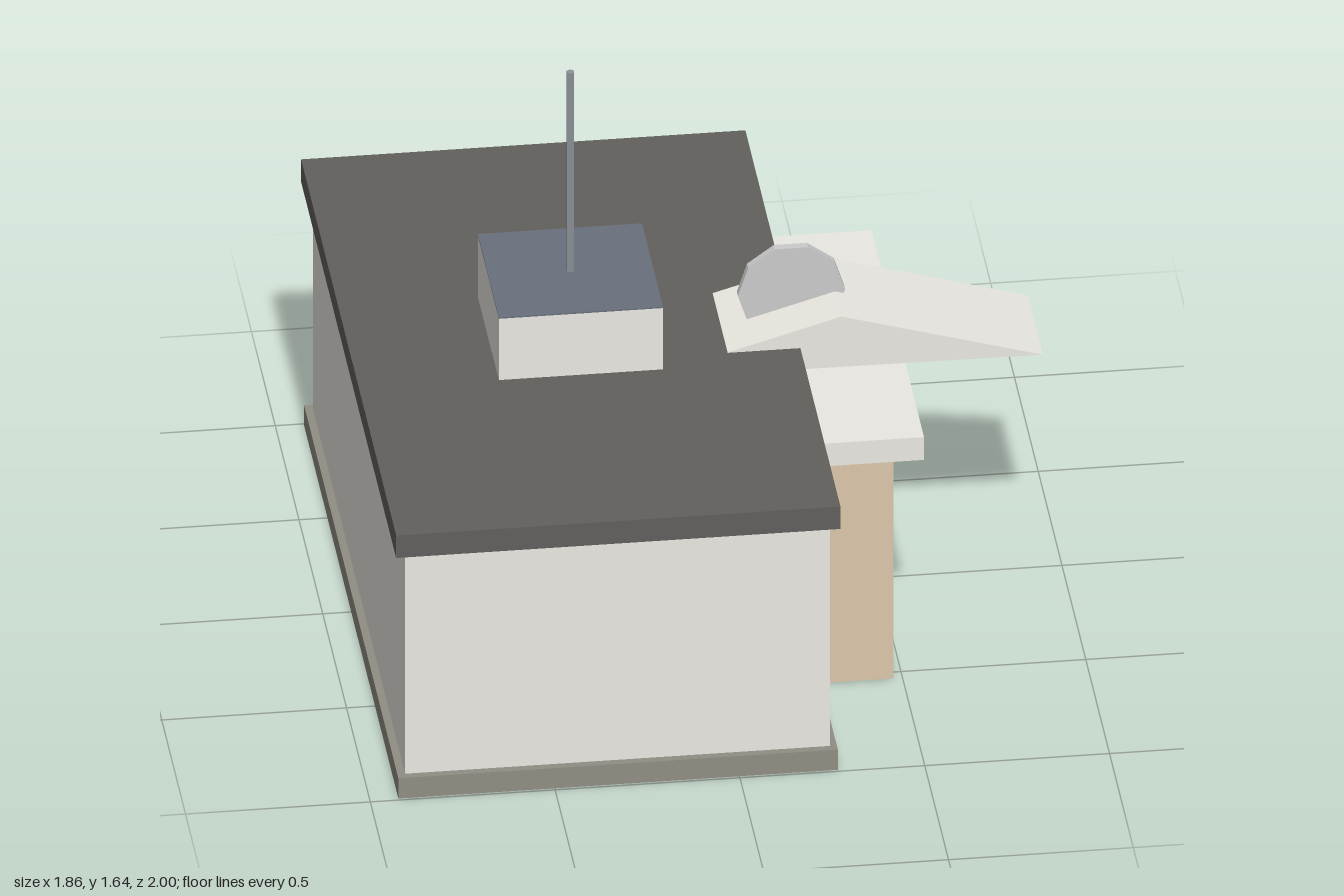
import * as THREE from 'three';

const mat = (color, side = THREE.FrontSide) =>
  new THREE.MeshStandardMaterial({ color, side, flatShading: true });

export function createModel() {
  const model = new THREE.Group();
  model.name = 'building';

  const wall = mat(0xebe9e2, THREE.DoubleSide);
  const dark = mat(0x62605d);
  const plinthMat = mat(0x918e84, THREE.DoubleSide);
  const tan = mat(0xdcc8aa, THREE.DoubleSide);
  const glass = mat(0x8fb8d6);
  const slate = mat(0x69707c);
  const metal = mat(0x8f959d);

  const add = (name, geometry, material) => {
    const mesh = new THREE.Mesh(geometry, material);
    mesh.name = name;
    model.add(mesh);
    return mesh;
  };
  // Box given by its limits on each axis
  const box = (name, [x0, x1], [y0, y1], [z0, z1], material) => {
    const mesh = add(name, new THREE.BoxGeometry(x1 - x0, y1 - y0, z1 - z0), material);
    mesh.position.set((x0 + x1) / 2, (y0 + y1) / 2, (z0 + z1) / 2);
    return mesh;
  };
  // Hollow box without its bottom face
  const shell = (...args) => {
    const { geometry } = box(...args);
    geometry.setIndex([...geometry.index.array].filter((_, i) => i < 18 || i >= 24));
    geometry.clearGroups();
  };
  const cylinder = (name, r, [y0, y1], x, z, sides, material) => {
    const mesh = add(name, new THREE.CylinderGeometry(r, r, y1 - y0, sides), material);
    mesh.position.set(x, (y0 + y1) / 2, z);
    return mesh;
  };

  // Main block, open below up to the top of the plinth
  shell('walls', [-0.902, 0.247], [0, 0.757], [-0.97, 0.97], wall);
  shell('plinth', [-0.923, 0.266], [0, 0.063], [-0.992, 0.992], plinthMat);
  box('roofSlab', [-0.93, 0.272], [0.755, 0.825], [-1, 1], dark);

  // Windows, two storeys, mirrored
  for (const z of [-0.712, -0.3, 0.3, 0.712])
    for (const y of [0.145, 0.465])
      box('window', [0.24, 0.266], [y, y + 0.175], [z - 0.054, z + 0.054], glass);

  // Porch, open below, with columns inside it
  shell('porch', [0.23, 0.475], [0, 0.676], [-0.533, 0.533], tan);
  for (const z of [-0.45, -0.15, 0.15, 0.45]) {
    cylinder('column', 0.035, [0.07, 0.67], 0.415, z, 8, wall);
    cylinder('columnBase', 0.053, [0.05, 0.075], 0.415, z, 8, metal);
    cylinder('columnCap', 0.053, [0.665, 0.686], 0.415, z, 8, metal);
  }
  box('porchCanopy', [0.245, 0.556], [0.685, 0.756], [-0.55, 0.55], wall);

  // Wedge-shaped awning over the entrance
  const profile = new THREE.Shape([
    [0.075, 0.76], [0.928, 0.755], [0.383, 0.915], [0.075, 0.826],
  ].map(([x, y]) => new THREE.Vector2(x, y)));
  const awning = new THREE.ExtrudeGeometry(profile, { depth: 0.316, bevelEnabled: false });
  awning.translate(0, 0, -0.158);
  add('awning', awning, wall);

  // Ten-sided upright disc
  const discGeometry = new THREE.CylinderGeometry(0.145, 0.145, 0.024, 10, 1, false, Math.PI / 10);
  discGeometry.rotateX(Math.PI / 2);
  add('disc', discGeometry, mat(0xc8c8c8)).position.set(0.265, 0.92, 0.012);

  // Rooftop room with its cover and mast
  box('roofRoom', [-0.552, -0.108], [0.82, 1.016], [-0.222, 0.222], wall);
  box('roofRoomCover', [-0.552, -0.108], [1.016, 1.02], [-0.222, 0.222], slate);
  cylinder('mast', 0.011, [1.015, 1.64], -0.33, 0, 6, metal);

  return model;
}
